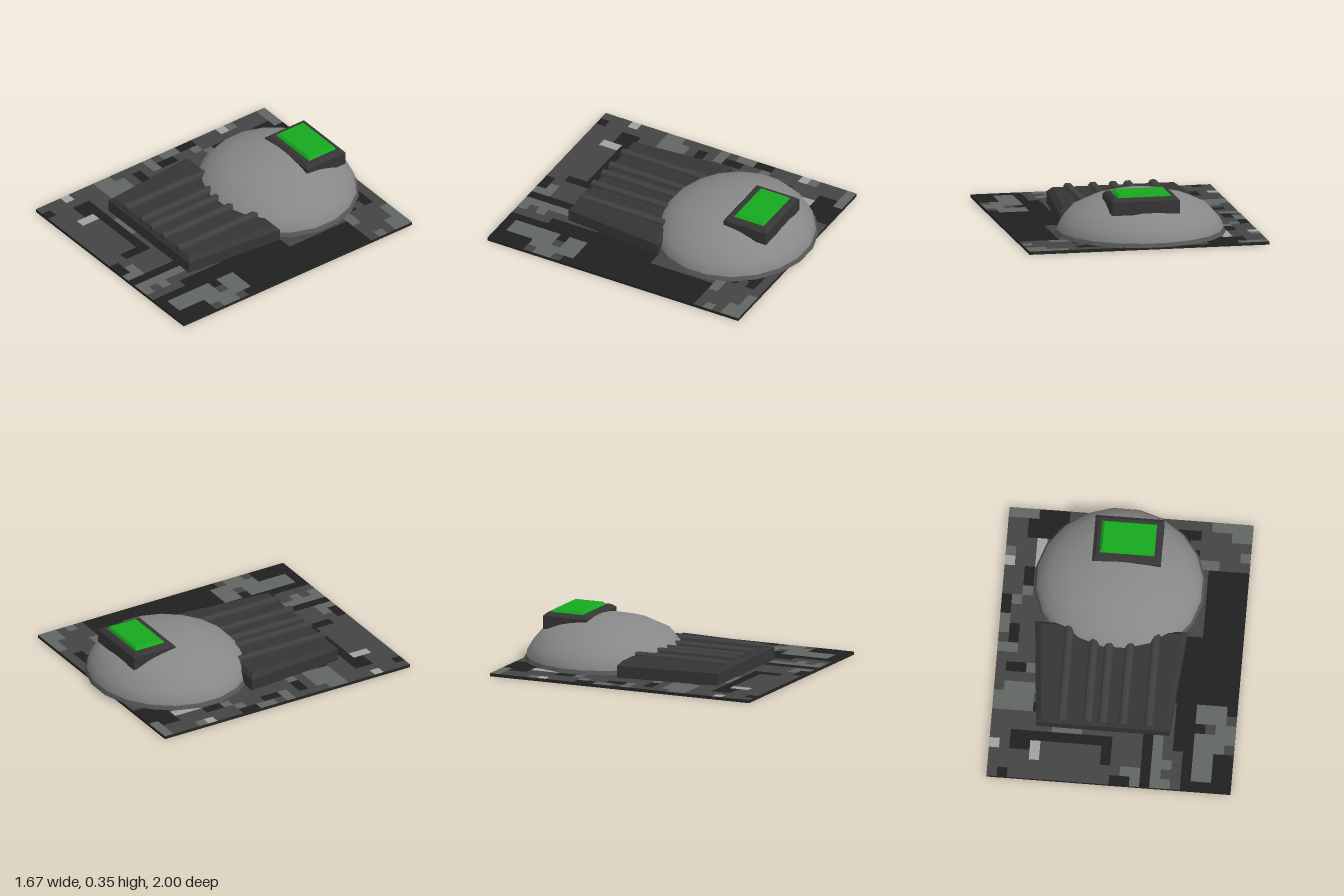
import * as THREE from 'three';
import { mergeGeometries } from 'three/addons/utils/BufferGeometryUtils.js';

const mat = (color, flatShading = false) => new THREE.MeshStandardMaterial({ color, flatShading });

function add(group, name, geometry, material) {
  const mesh = new THREE.Mesh(geometry, material);
  mesh.name = name;
  group.add(mesh);
  return mesh;
}

// Four corners at height y: back edge xb0..xb1 at z0, front edge xf0..xf1 at z1
const ring = (y, xb0, xb1, z0, xf0 = xb0, xf1 = xb1, z1) =>
  [[xb0, y, z0], [xf0, y, z1], [xf1, y, z1], [xb1, y, z0]];

// Closed block lofted through four-cornered rings, bottom to top
function loft(rings) {
  const pos = [];
  const quad = (a, b, c, d) => pos.push(...a, ...b, ...c, ...a, ...c, ...d);
  for (let k = 0; k + 1 < rings.length; k++) {
    for (let i = 0; i < 4; i++) {
      const j = (i + 1) % 4;
      quad(rings[k][i], rings[k][j], rings[k + 1][j], rings[k + 1][i]);
    }
  }
  quad(...rings[rings.length - 1]);
  quad(...[...rings[0]].reverse());
  const g = new THREE.BufferGeometry();
  g.setAttribute('position', new THREE.Float32BufferAttribute(pos, 3));
  g.computeVertexNormals();
  return g;
}

// Square-celled camouflage: broad patches painted over seeded blotches
function camouflage() {
  const cols = 24, rows = 28, w = 1.666 / cols, d = 1.95 / rows;
  const grid = Array.from({ length: rows }, () => new Array(cols).fill(1));
  const paint = (c, r, cw, rh, shade) => {
    for (let y = r; y < Math.min(rows, r + rh); y++)
      for (let x = c; x < Math.min(cols, c + cw); x++) grid[y][x] = shade;
  };
  let seed = 7;
  const rand = n => {
    seed = (seed * 1103515245 + 12345) % 2147483648;
    return Math.floor((seed / 2147483648) * n);
  };
  for (let i = 0; i < 75; i++) paint(rand(cols), rand(rows), 1 + rand(3), 1 + rand(2), i % 2 ? 0 : 2);
  [[20, 5, 4, 14, 0], [17, 13, 7, 6, 0], [18, 19, 2, 5, 0], [19, 24, 5, 4, 0],
    [20, 24, 2, 3, 2], [20, 19, 3, 2, 2], [20, 0, 4, 1, 2], [0, 0, 3, 1, 2],
    [2, 1, 3, 2, 0], [3, 3, 1, 3, 3], [0, 5, 1, 1, 3], [0, 14, 2, 1, 2],
    [0, 19, 4, 2, 2], [0, 24, 1, 1, 3], [4, 24, 1, 2, 3], [3, 23, 8, 1, 0],
    [11, 23, 1, 3, 0], [15, 22, 1, 6, 0], [16, 22, 1, 6, 2]].forEach(p => paint(...p));

  const group = new THREE.Group();
  group.name = 'camouflageTiles';
  [0x202020, 0x444444, 0x606662, 0xa0a0a0].forEach((color, shade) => {
    const tiles = [];
    grid.forEach((row, r) => row.forEach((s, c) => {
      if (s !== shade) return;
      tiles.push(new THREE.PlaneGeometry(w, d).rotateX(-Math.PI / 2)
        .translate(-0.833 + (c + 0.5) * w, 0.022, -0.95 + (r + 0.5) * d));
    }));
    if (tiles.length) add(group, 'tileShade' + shade, mergeGeometries(tiles), mat(color));
  });
  return group;
}

export function createModel() {
  const model = new THREE.Group();
  model.name = 'domeDevice';
  const dark = mat(0x353535, true);

  // Base plate
  add(model, 'basePlate', new THREE.BoxGeometry(1.666, 0.021, 1.95).translate(0, 0.0105, 0.025), mat(0x262626, true));
  model.add(camouflage());

  // Dome with a thin flared rim, slightly shorter front to back
  const dome = new THREE.Group();
  dome.name = 'dome';
  dome.position.set(-0.04, 0, -0.45);
  dome.scale.z = 0.95;
  const lathe = pts => new THREE.LatheGeometry(
    pts.map(p => new THREE.Vector2(...p)), 20, Math.PI / 20);
  add(dome, 'domeShell', lathe([[0.568, 0.05], [0.56, 0.085], [0.537, 0.125], [0.47, 0.2],
    [0.34, 0.262], [0.19, 0.302], [0.09, 0.314], [0, 0.316]]), mat(0x888888));
  add(dome, 'domeRim', lathe([[0, 0.0235], [0.585, 0.0235], [0.572, 0.048], [0.56, 0.052]]), mat(0x555555, true));
  model.add(dome);

  // Screen housing and green screen on the dome
  add(model, 'screenHousing', loft([
    ring(0.22, -0.235, 0.235, -0.835, undefined, undefined, -0.505),
    ring(0.312, -0.235, 0.235, -0.835, undefined, undefined, -0.505),
    ring(0.333, -0.212, 0.212, -0.813, undefined, undefined, -0.528),
  ]), dark);
  add(model, 'screen', loft([
    ring(0.325, -0.187, 0.187, -0.791, undefined, undefined, -0.56),
    ring(0.335, -0.187, 0.187, -0.791, undefined, undefined, -0.56),
    ring(0.353, -0.17, 0.17, -0.78, undefined, undefined, -0.575),
  ]), mat(0x16a81e, true));

  // Tapered front block with bevelled top
  add(model, 'frontBlock', loft([
    ring(0.02, -0.59, 0.45, -0.11, -0.525, 0.385, 0.615),
    ring(0.105, -0.59, 0.45, -0.11, -0.525, 0.385, 0.615),
    ring(0.135, -0.553, 0.413, -0.085, -0.493, 0.353, 0.59),
  ]), dark);

  // Ribs along the block
  const rib = new THREE.CylinderGeometry(0.032, 0.032, 0.68, 6)
    .rotateX(Math.PI / 2).rotateZ(Math.PI / 6).scale(1, 0.72, 1);
  [-0.35, -0.175, -0.072, 0.068, 0.242].forEach((x, i) => {
    add(model, 'rib' + (i + 1), rib, mat(0x404040)).position.set(x, 0.138, 0.264);
  });

  return model;
}
